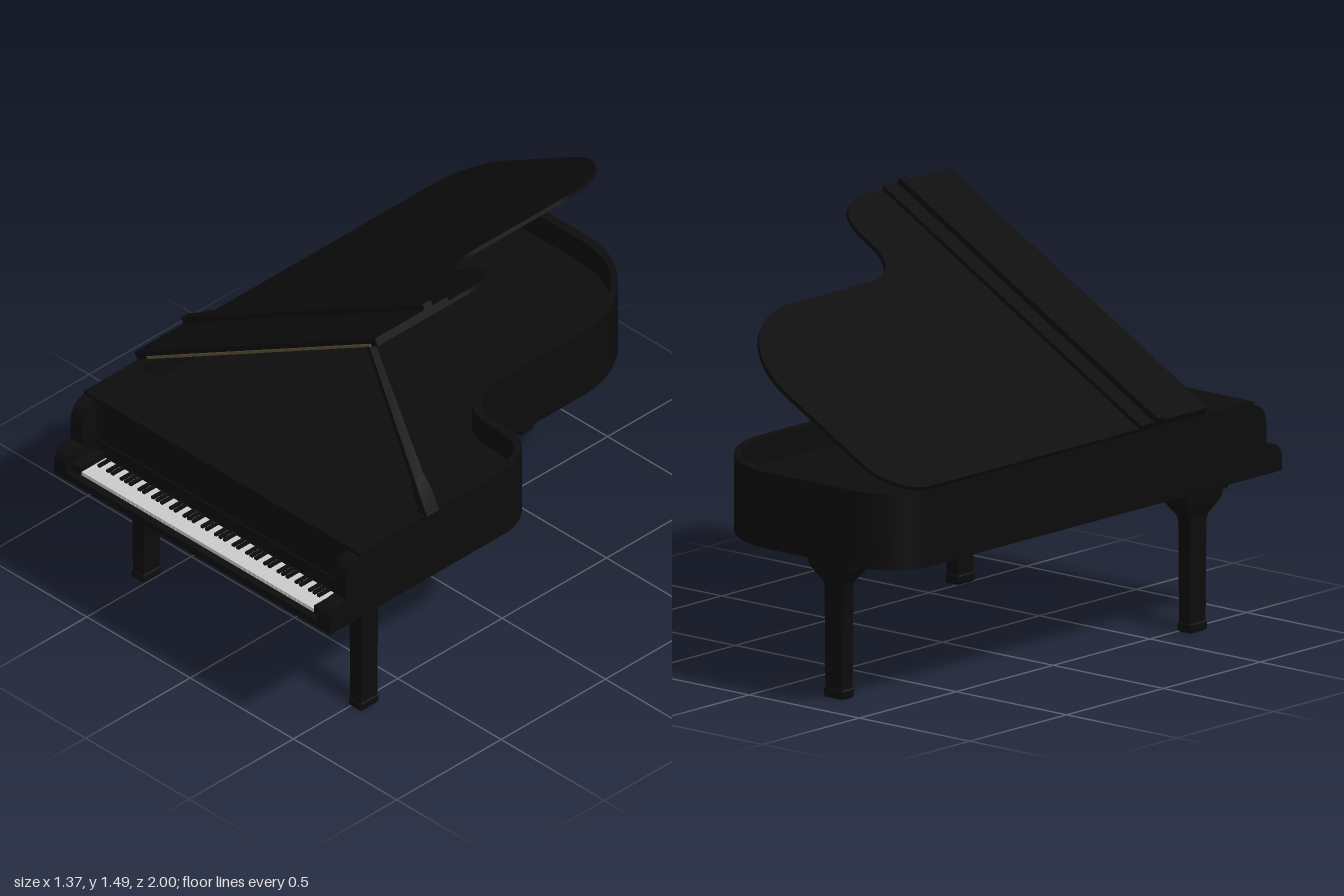
import * as THREE from 'three';
import { toCreasedNormals } from 'three/addons/utils/BufferGeometryUtils.js';

const mat = (color) => new THREE.MeshStandardMaterial({ color });
const black = mat(0x0c0c0c);
const ivory = mat(0xcccccc);
const brass = mat(0x5c5038);

function add(parent, name, geometry, material = black) {
  const mesh = new THREE.Mesh(geometry, material);
  mesh.name = name;
  parent.add(mesh);
  return mesh;
}

// Box given by its limits on each axis
function box(x0, x1, y0, y1, z0, z1) {
  return new THREE.BoxGeometry(x1 - x0, y1 - y0, z1 - z0)
    .translate((x0 + x1) / 2, (y0 + y1) / 2, (z0 + z1) / 2);
}

// Curved case outline in plan (shape y = -z), inset by d and cut off at z = front
function outline(front, d = 0, S = THREE.Shape) {
  const l = -0.66 + d, r = 0.675 - d, back = 1 - d, waist = 0.29 - d, hip = 0.02 - d;
  const s = new S();
  s.moveTo(l, -front);
  s.lineTo(r, -front);
  s.lineTo(r, -0.17);
  s.bezierCurveTo(r, -0.05, 0.6, hip, 0.5 - d, hip);
  s.lineTo(0.45, hip);
  s.bezierCurveTo(0.36 - d, hip, waist, 0.08, waist, 0.2);
  s.lineTo(waist, 0.6);
  s.bezierCurveTo(waist, 0.8, 0.12, back, -0.1, back);
  s.lineTo(-0.48, back);
  s.bezierCurveTo(-0.58, back, l, 0.92, l, 0.82);
  s.lineTo(l, -front);
  return s;
}

function slab(shape, y0, y1) {
  const g = new THREE.ExtrudeGeometry(shape, { depth: y1 - y0, bevelEnabled: false, curveSegments: 16 });
  return toCreasedNormals(g.rotateX(-Math.PI / 2).translate(0, y0, 0), 0.6);
}

// Loft through rectangular sections [y, halfX, halfZ]
function rectLoft(sections) {
  const pos = [], idx = [];
  for (const [y, a, b] of sections) pos.push(-a, y, b, a, y, b, a, y, -b, -a, y, -b);
  for (let i = 0; i < sections.length - 1; i++) {
    for (let j = 0; j < 4; j++) {
      const p = i * 4 + j, q = i * 4 + (j + 1) % 4;
      idx.push(p, q, q + 4, p, q + 4, p + 4);
    }
  }
  const t = (sections.length - 1) * 4;
  idx.push(0, 2, 1, 0, 3, 2, t, t + 1, t + 2, t, t + 2, t + 3);
  const g = new THREE.BufferGeometry();
  g.setAttribute('position', new THREE.Float32BufferAttribute(pos, 3));
  g.setIndex(idx);
  return toCreasedNormals(g, 0.3);
}

function buildCase(root) {
  const body = new THREE.Group();
  body.name = 'case';
  root.add(body);
  add(body, 'bottomBoard', slab(outline(1), 0.525, 0.547));
  const rim = outline(0.855);
  rim.holes.push(outline(0.62, 0.035, THREE.Path));
  add(body, 'rim', slab(rim, 0.547, 0.793));
  add(body, 'soundboard', slab(outline(0.63, 0.03), 0.68, 0.7));

  // Scrolled arms at both ends of the keyboard
  const arm = new THREE.Shape();
  arm.moveTo(0.85, 0.53);
  arm.lineTo(1, 0.53);
  arm.lineTo(1, 0.57);
  arm.quadraticCurveTo(0.995, 0.63, 0.92, 0.63);
  arm.lineTo(0.92, 0.69);
  arm.quadraticCurveTo(0.92, 0.775, 0.85, 0.78);
  for (const x of [-0.6, 0.675]) {
    const g = new THREE.ExtrudeGeometry(arm, { depth: 0.06, bevelEnabled: false, curveSegments: 10 });
    add(body, 'arm', toCreasedNormals(g.rotateY(-Math.PI / 2).translate(x, 0, 0), 0.6));
  }
  add(body, 'keyBlock', box(-0.6, -0.558, 0.547, 0.585, 0.855, 0.975));
  add(body, 'keyBlock', box(0.574, 0.615, 0.547, 0.585, 0.855, 0.975));
  add(body, 'keySlip', box(-0.6, 0.615, 0.547, 0.553, 0.972, 1));
  add(body, 'fallboardRail', box(-0.6, 0.615, 0.6, 0.63, 0.855, 0.862));
}

function buildKeys(root) {
  const keys = new THREE.Group();
  keys.name = 'keyboard';
  root.add(keys);
  const x0 = -0.556, pitch = 1.128 / 52;
  for (let i = 0; i < 52; i++) {
    const x = x0 + i * pitch;
    add(keys, 'whiteKey', box(x + 0.0006, x + pitch - 0.0006, 0.547, 0.565, 0.855, 0.97), ivory);
    // Sharps follow A, C, D, F and G, counting up from the lowest A
    if (i < 51 && [0, 2, 3, 5, 6].includes(i % 7)) {
      add(keys, 'blackKey', box(x + pitch - 0.006, x + pitch + 0.006, 0.56, 0.574, 0.855, 0.91));
    }
  }
}

function buildLid(root) {
  const lid = new THREE.Group();
  lid.name = 'lid';
  lid.position.set(-0.66, 0.795, 0);
  lid.rotation.z = 0.51;
  root.add(lid);
  add(lid, 'lidPanel', slab(outline(0.6), 0, 0.015).translate(0.66, 0, 0));
  // Front flap folded back over the main panel, with its edge strip
  add(lid, 'foldedFlap', box(0, 1.335, 0.015, 0.029, 0.255, 0.6));
  add(lid, 'flapEdge', box(-0.006, 1.335, 0.015, 0.05, 0.325, 0.362));
  add(lid, 'lidHinge', box(0.06, 1.3, 0.001, 0.011, 0.59, 0.604), brass);
}

function buildProp(root) {
  // Tapered stick leaning from the right rim up to the lid
  const foot = new THREE.Vector3(0.668, 0.785, 0.512);
  const head = new THREE.Vector3(0.367, 1.372, 0.512);
  const dir = head.clone().sub(foot);
  const prop = add(root, 'propStick', rectLoft([
    [0, 0.017, 0.03], [0.1, 0.016, 0.027], [0.14, 0.01, 0.022], [dir.length(), 0.008, 0.013],
  ]));
  prop.position.copy(foot);
  prop.quaternion.setFromUnitVectors(new THREE.Vector3(0, 1, 0), dir.normalize());
  add(root, 'propBase', box(0.63, 0.675, 0.79, 0.8, 0.485, 0.54));
}

function buildLegs(root) {
  // Sections: y, half the narrow side, half the wide side
  const leg = rectLoft([
    [0, 0.025, 0.038], [0.008, 0.029, 0.043], [0.028, 0.029, 0.043], [0.034, 0.026, 0.039],
    [0.39, 0.028, 0.041], [0.41, 0.031, 0.047], [0.44, 0.046, 0.07], [0.46, 0.053, 0.088],
    [0.488, 0.055, 0.096], [0.49, 0.062, 0.11], [0.505, 0.066, 0.118], [0.508, 0.071, 0.128],
    [0.527, 0.071, 0.128],
  ]);
  const spots = [
    ['frontLeg', -0.53, 0.685, 0],
    ['frontLeg', 0.522, 0.685, 0],
    ['rearLeg', -0.25, -0.82, Math.PI / 2],
  ];
  for (const [name, x, z, turn] of spots) {
    const mesh = add(root, name, leg);
    mesh.position.set(x, 0, z);
    mesh.rotation.y = turn;
  }
}

export function createModel() {
  const root = new THREE.Group();
  root.name = 'grandPiano';
  buildCase(root);
  buildKeys(root);
  buildLid(root);
  buildProp(root);
  buildLegs(root);
  return root;
}
